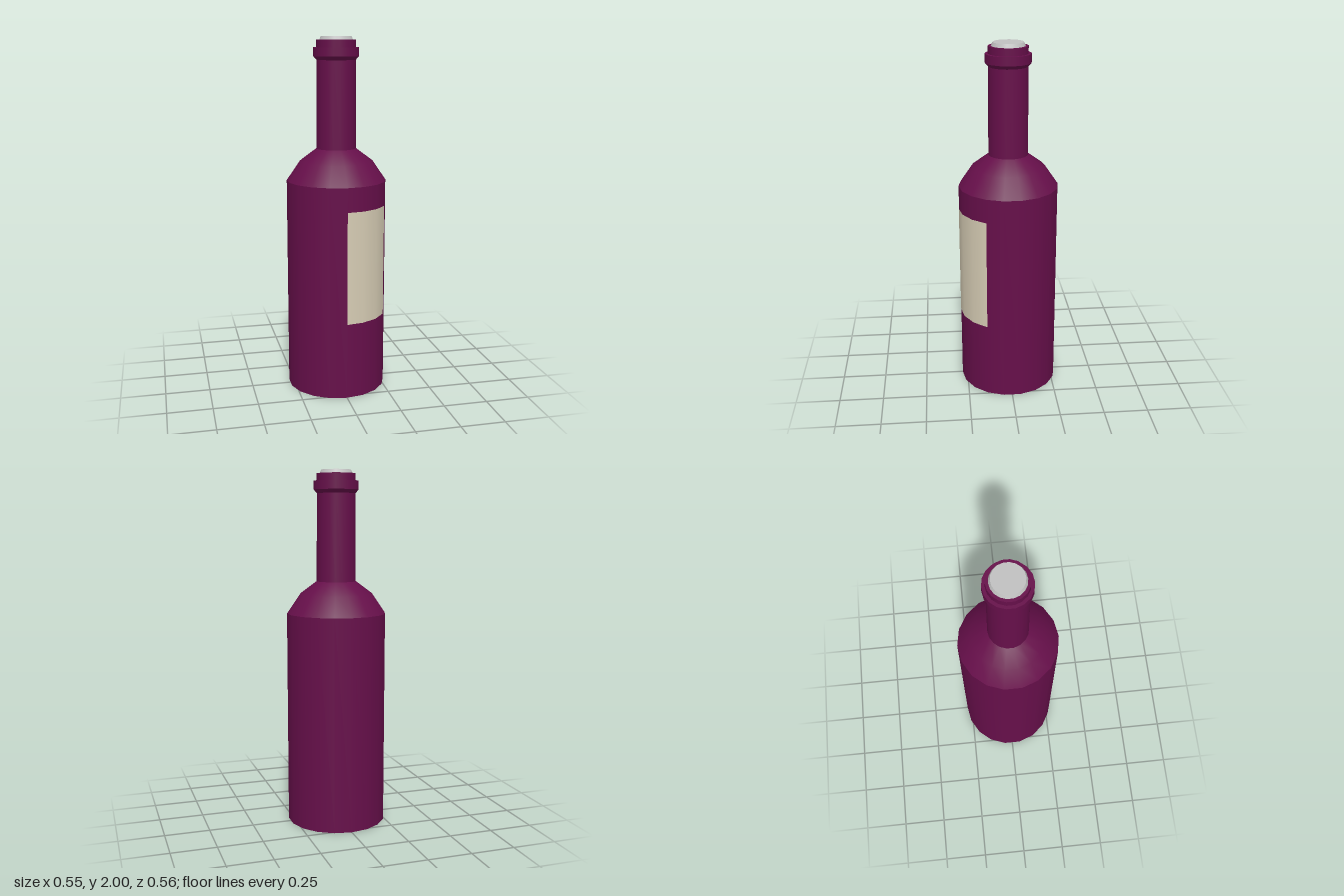
import * as THREE from 'three';
import { mergeGeometries } from 'three/addons/utils/BufferGeometryUtils.js';

const SIDES = 18;

// Each section is a lathed strip with its own normals, so the joints between sections stay sharp.
function turned(sections, segments = SIDES, start = 0, length = Math.PI * 2) {
  return mergeGeometries(sections.map((points) => new THREE.LatheGeometry(
    points.map(([r, y]) => new THREE.Vector2(r, y)), segments, start, length)));
}

export function createModel() {
  const model = new THREE.Group();
  model.name = 'bottle';

  const glass = new THREE.MeshStandardMaterial({ color: 0x660f4a });
  glass.name = 'plum glass';
  const paper = new THREE.MeshStandardMaterial({ color: 0xd6ccb4, side: THREE.DoubleSide });
  paper.name = 'cream paper';
  const stopper = new THREE.MeshStandardMaterial({ color: 0xc0c0c0 });
  stopper.name = 'pale grey stopper';

  const add = (name, geometry, material) => {
    const mesh = new THREE.Mesh(geometry, material);
    mesh.name = name;
    model.add(mesh);
  };

  // Straight body with a flat base
  add('body', turned([
    [[0, 0], [0.28, 0]],
    [[0.28, 0], [0.28, 1.205]],
  ]), glass);

  // Rounded shoulder
  add('shoulder', turned([[[0.28, 1.205], [0.205, 1.315], [0.111, 1.385]]]), glass);

  // Slightly tapered neck
  add('neck', turned([[[0.111, 1.385], [0.108, 1.88]]]), glass);

  // Raised ring and mouth
  add('lip', turned([
    [[0.108, 1.872], [0.126, 1.892]],
    [[0.126, 1.892], [0.126, 1.94]],
    [[0.126, 1.94], [0.109, 1.94]],
    [[0.109, 1.94], [0.109, 1.98]],
    [[0.109, 1.98], [0, 1.98]],
  ]), glass);

  // Stopper showing above the mouth
  add('stopper', turned([
    [[0.094, 1.978], [0.084, 2]],
    [[0.084, 2], [0, 2]],
  ]), stopper);

  // Label wrapped over three facets of the body
  add('label', turned([[[0.2815, 0.435], [0.2815, 1.07]]], 3, 0, Math.PI / 3), paper);

  return model;
}
